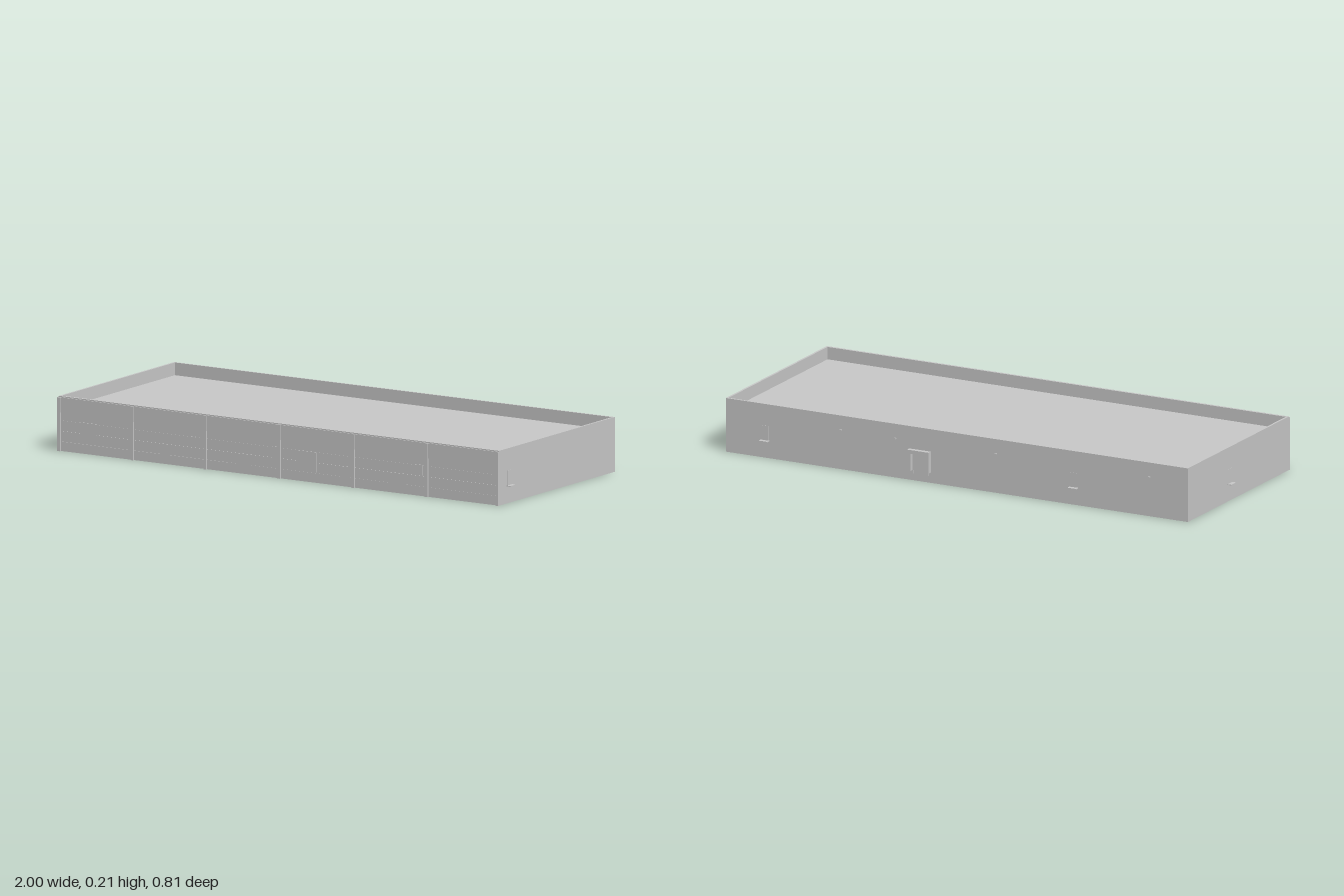
import * as THREE from 'three';

export function createModel() {
  const model = new THREE.Group();
  model.name = 'warehouse';
  const concrete = new THREE.MeshStandardMaterial({ color: 0xc8c8c8 });
  concrete.name = 'concrete grey';

  // Box given by its minimum and maximum corners
  function block(name, x0, x1, y0, y1, z0, z1, parent = model) {
    const mesh = new THREE.Mesh(new THREE.BoxGeometry(x1 - x0, y1 - y0, z1 - z0), concrete);
    mesh.position.set((x0 + x1) / 2, (y0 + y1) / 2, (z0 + z1) / 2);
    mesh.name = name;
    parent.add(mesh);
    return mesh;
  }

  const X = 0.98, BACK = -0.388, FRONT = 0.4, H = 0.208, T = 0.008;

  // Shell: perimeter walls rising past a sunken roof, open underneath
  block('backWall', -X, X, 0, H, BACK, BACK + T);
  block('frontWall', -X, X, 0, H, FRONT - 0.01, FRONT);
  for (const s of [-1, 1]) {
    const inner = s * (X - T), outer = s * X;
    block('endWall', Math.min(inner, outer), Math.max(inner, outer), 0, H, BACK + T, FRONT - 0.01);
  }
  block('roof', -X + T, X - T, 0.156, 0.16, BACK + T, FRONT - 0.01);

  // Low plinth along the inside of the front wall
  block('plinth', -X + T, X - T, 0, 0.036, FRONT - 0.013, FRONT - 0.01);

  // Facade: pilasters, fascia panels and wall panels in six bays
  const pilasters = [-0.975, -0.65, -0.325, 0.004, 0.333, 0.66, 0.975];
  for (const x of pilasters) {
    block('pilaster', x - 0.006, x + 0.006, 0, 0.204, FRONT, 0.408);
  }
  for (let i = 0; i < 6; i++) {
    const a = pilasters[i] + 0.006, b = pilasters[i + 1] - 0.006;
    block('fasciaPanel', a, b, 0.146, 0.204, FRONT, FRONT + 0.004);
    for (const [y0, y1] of [[0.003, 0.036], [0.038, 0.076], [0.078, 0.116]]) {
      block('wallPanel', a, b, y0, y1, FRONT, FRONT + 0.0015);
    }
  }

  // Facade openings, as shallow panels: x start, x end, bottom, top
  const openings = [
    [-0.884, -0.81, 0.055, 0.118], [-0.52, -0.49, 0.004, 0.076], [-0.4, -0.37, 0.078, 0.118],
    [-0.19, -0.12, 0.004, 0.076], [-0.03, -0.005, 0.055, 0.118], [0.09, 0.17, 0.04, 0.116],
    [0.28, 0.32, 0.004, 0.076], [0.49, 0.57, 0.004, 0.076], [0.6, 0.64, 0.078, 0.118],
  ];
  for (const [x0, x1, y0, y1] of openings) {
    block('facadeOpening', x0, x1, y0, y1, FRONT, FRONT + 0.003);
  }

  // Exit door with a thin landing, built facing +z and turned to its wall
  function exitDoor(x, z, turn) {
    const door = new THREE.Group();
    door.name = 'exitDoor';
    block('doorLeaf', -0.014, 0.014, 0.068, 0.124, 0, 0.0015, door);
    block('landing', -0.018, 0.018, 0.065, 0.068, 0, 0.018, door);
    door.position.set(x, 0, z);
    door.rotation.y = turn;
    model.add(door);
  }
  exitDoor(-0.497, BACK, Math.PI);
  exitDoor(0.813, BACK, Math.PI);
  exitDoor(X, 0.331, Math.PI / 2);
  exitDoor(-X, -0.062, -Math.PI / 2);

  // Loading dock: padded frame, shutter and bumpers
  const Z = BACK - 0.018;
  block('dockPad', 0.11, 0.126, 0.04, 0.106, Z, BACK);
  block('dockPad', 0.186, 0.202, 0.04, 0.106, Z, BACK);
  block('dockHeader', 0.11, 0.202, 0.106, 0.121, Z, BACK);
  block('dockShutter', 0.126, 0.186, 0.04, 0.106, BACK - 0.002, BACK);
  for (const x of [0.12, 0.182]) block('dockBumper', x, x + 0.01, 0.026, 0.04, BACK - 0.004, BACK);

  // Small wall lights along the back
  for (const x of [-0.817, -0.167, 0.26, 0.49]) {
    block('wallLight', x - 0.004, x + 0.004, 0.15, 0.154, BACK - 0.006, BACK);
  }
  return model;
}
